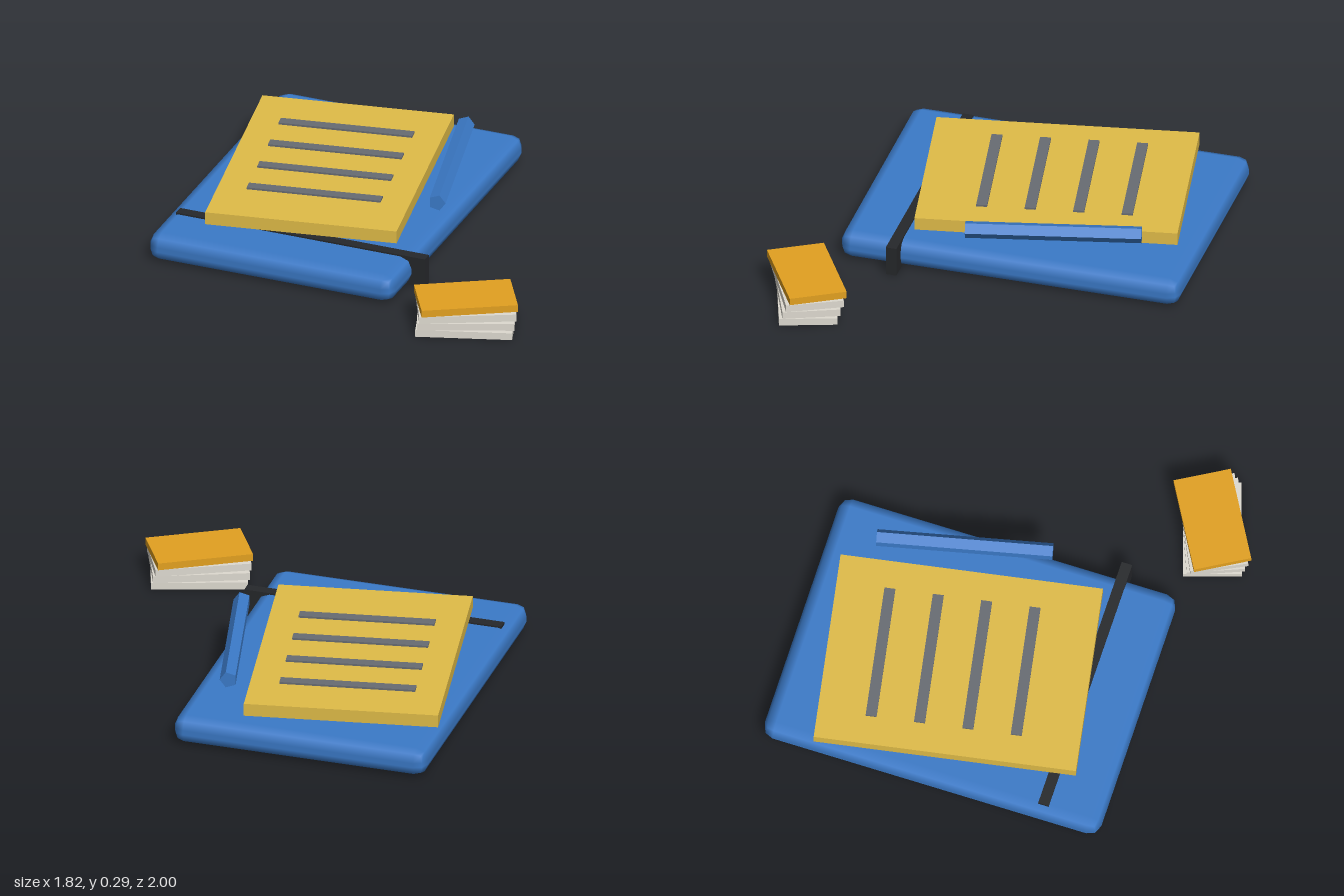
import * as THREE from 'three';
import { RoundedBoxGeometry } from 'three/addons/geometries/RoundedBoxGeometry.js';

const material = (color, flatShading = false) => new THREE.MeshStandardMaterial({ color, flatShading });
const blue = material(0x3b7ac8);
const penBlue = material(0x3b7ac8, true);
const black = material(0x26282b);
const paper = material(0xe0bc48);
const ink = material(0x686c73);
const white = material(0xdedad0);
const orange = material(0xe2a020);

function add(parent, name, geometry, mat, [x, y, z], turn = 0) {
  const mesh = new THREE.Mesh(geometry, mat);
  mesh.name = name;
  mesh.position.set(x, y, z);
  mesh.rotation.y = turn;
  parent.add(mesh);
  return mesh;
}

export function createModel() {
  const model = new THREE.Group();
  model.name = 'notebookSet';

  // Notebook body with bevelled edges, and the band around it
  add(model, 'notebook', new RoundedBoxGeometry(1.2, 0.131, 1.6, 1, 0.055), blue, [-0.237, 0.068, -0.148], -0.104);
  add(model, 'elasticBand', new THREE.BoxGeometry(1.22, 0.141, 0.05), black, [-0.238, 0.0705, 0.385], -0.108);

  // Paper pad with four written lines
  const pad = new THREE.Group();
  pad.name = 'notePad';
  pad.position.set(-0.281, 0.18, -0.193);
  pad.rotation.y = 0.069;
  model.add(pad);
  add(pad, 'page', new THREE.BoxGeometry(0.887, 0.06, 1.198), paper, [0, 0, 0]);
  for (let i = 0; i < 4; i++) {
    add(pad, 'writtenLine', new THREE.BoxGeometry(0.62, 0.02, 0.05), ink, [0, 0.029, -0.355 + i * 0.221]);
  }

  // Five-sided pen lying along z
  const penShape = new THREE.CylinderGeometry(0.04, 0.04, 0.8, 5, 1, false, Math.PI / 2);
  penShape.rotateX(Math.PI / 2);
  add(model, 'pen', penShape, penBlue, [0.269, 0.248, -0.278], 0.122);

  // Stack of cards, each turned a little further than the one below
  for (let i = 0; i < 4; i++) {
    const top = i === 3;
    add(model, top ? 'topCard' : 'card', new THREE.BoxGeometry(0.44, 0.034, 0.265), top ? orange : white,
      [0.652, 0.017 + i * 0.04, 0.786], THREE.MathUtils.degToRad(12 + i * 4));
  }

  return model;
}
